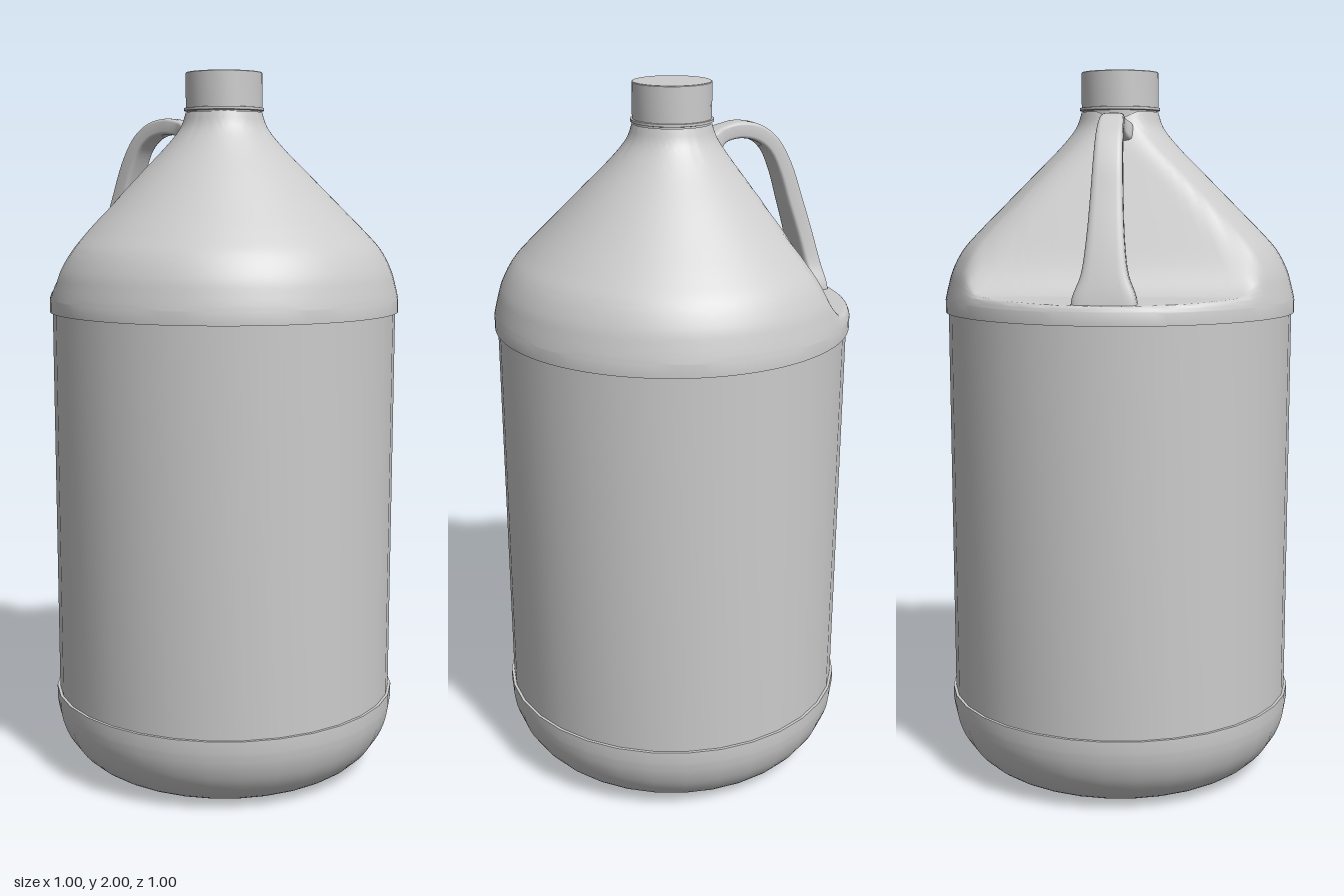
import * as THREE from 'three';
import { toCreasedNormals } from 'three/addons/utils/BufferGeometryUtils.js';

const material = new THREE.MeshStandardMaterial({ color: 0xcccccc, side: THREE.DoubleSide });
const SIDES = 32;
const vec = ([x, y]) => new THREE.Vector2(x, y);

function addMesh(group, name, geometry) {
  const mesh = new THREE.Mesh(geometry, material);
  mesh.name = name;
  group.add(mesh);
}

const lathe = (points, crease = 0.6, sides = SIDES) =>
  toCreasedNormals(new THREE.LatheGeometry(points, sides), crease);

// Polynomial smooth minimum and maximum
function smoothMin(a, b, k) {
  const h = Math.max(k - Math.abs(a - b), 0) / k;
  return Math.min(a, b) - h * h * k / 4;
}
const smoothMax = (a, b, k) => -smoothMin(-a, -b, k);

// Height of the grip recess: a nearly flat ledge running into a steep wall
const recessHeight = (x) =>
  smoothMax(1.385 + (x + 0.49) * 0.08, 1.815 + (x + 0.13) * 2.55, 0.1);

// Shoulder: a turned profile, pressed down wherever it rises above the recess
function shoulderGeometry() {
  const slope = new THREE.SplineCurve([
    [0.498, 1.37], [0.49, 1.405], [0.475, 1.455], [0.445, 1.51], [0.4, 1.56], [0.33, 1.63],
    [0.25, 1.71], [0.17, 1.79], [0.125, 1.845], [0.108, 1.89],
  ].map(vec));
  const profile = [[0.47, 1.335], [0.498, 1.335]].map(vec).concat(slope.getPoints(54));
  const geometry = new THREE.LatheGeometry(profile, SIDES * 3);
  const p = geometry.attributes.position;
  for (let i = 0; i < p.count; i++) {
    p.setY(i, smoothMin(p.getY(i), recessHeight(p.getX(i)), 0.035));
  }
  return toCreasedNormals(geometry, 1.0);
}

// Handle: rounded rectangular sections between an outer and an inner edge
function handleGeometry() {
  // outer x, outer y, inner x, inner y, half width
  const stations = [
    [-0.48, 1.36, -0.413, 1.36, 0.088],
    [-0.474, 1.405, -0.415, 1.405, 0.083],
    [-0.462, 1.46, -0.405, 1.46, 0.062],
    [-0.437, 1.55, -0.385, 1.54, 0.05],
    [-0.4, 1.66, -0.352, 1.64, 0.043],
    [-0.365, 1.755, -0.322, 1.73, 0.039],
    [-0.32, 1.828, -0.29, 1.792, 0.036],
    [-0.265, 1.868, -0.25, 1.823, 0.033],
    [-0.2, 1.88, -0.2, 1.834, 0.03],
    [-0.15, 1.872, -0.155, 1.826, 0.03],
    [-0.115, 1.862, -0.13, 1.808, 0.045],
    [-0.06, 1.85, -0.07, 1.79, 0.05],
  ];
  const spline = (pick) => new THREE.CatmullRomCurve3(stations.map((s) => new THREE.Vector3(...pick(s))));
  const outer = spline((s) => [s[0], s[1], s[4]]);
  const inner = spline((s) => [s[2], s[3], s[4]]);
  const rows = 44, around = 24, positions = [], index = [];
  const round = (v) => Math.sign(v) * Math.abs(v) ** 0.4;
  for (let i = 0; i <= rows; i++) {
    const a = outer.getPoint(i / rows), b = inner.getPoint(i / rows);
    for (let j = 0; j < around; j++) {
      const t = j / around * Math.PI * 2;
      const c = (1 + round(Math.cos(t))) / 2;
      positions.push(b.x + (a.x - b.x) * c, b.y + (a.y - b.y) * c, a.z * round(Math.sin(t)));
      if (i < rows) {
        const p = i * around + j, q = i * around + (j + 1) % around;
        index.push(p, p + around, q, q, p + around, q + around);
      }
    }
  }
  const geometry = new THREE.BufferGeometry();
  geometry.setAttribute('position', new THREE.Float32BufferAttribute(positions, 3));
  geometry.setIndex(index);
  geometry.computeVertexNormals();
  return geometry;
}

export function createModel() {
  const jug = new THREE.Group();
  jug.name = 'jug';

  // Rounded base with a shallow recessed underside
  const corner = new THREE.SplineCurve([
    [0.34, 0], [0.385, 0.014], [0.43, 0.044], [0.468, 0.092], [0.49, 0.145], [0.498, 0.19],
  ].map(vec));
  addMesh(jug, 'base', lathe([
    vec([0, 0.02]), vec([0.305, 0.02]), vec([0.32, 0]),
    ...corner.getPoints(16), vec([0.498, 0.225]), vec([0.47, 0.225]),
  ]));

  // Straight wall, set in slightly between base and shoulder
  addMesh(jug, 'wall', lathe([[0.49, 0.215], [0.49, 1.345]].map(vec)));

  addMesh(jug, 'shoulder', shoulderGeometry());
  addMesh(jug, 'handle', handleGeometry());

  // Neck with a thin collar under the cap
  addMesh(jug, 'neck', lathe([
    [0.104, 1.8], [0.104, 1.893], [0.113, 1.895], [0.113, 1.902], [0.1, 1.904],
  ].map(vec)));

  addMesh(jug, 'cap', lathe([[0.108, 1.9], [0.108, 1.998], [0.106, 2], [0, 2]].map(vec)));

  return jug;
}
